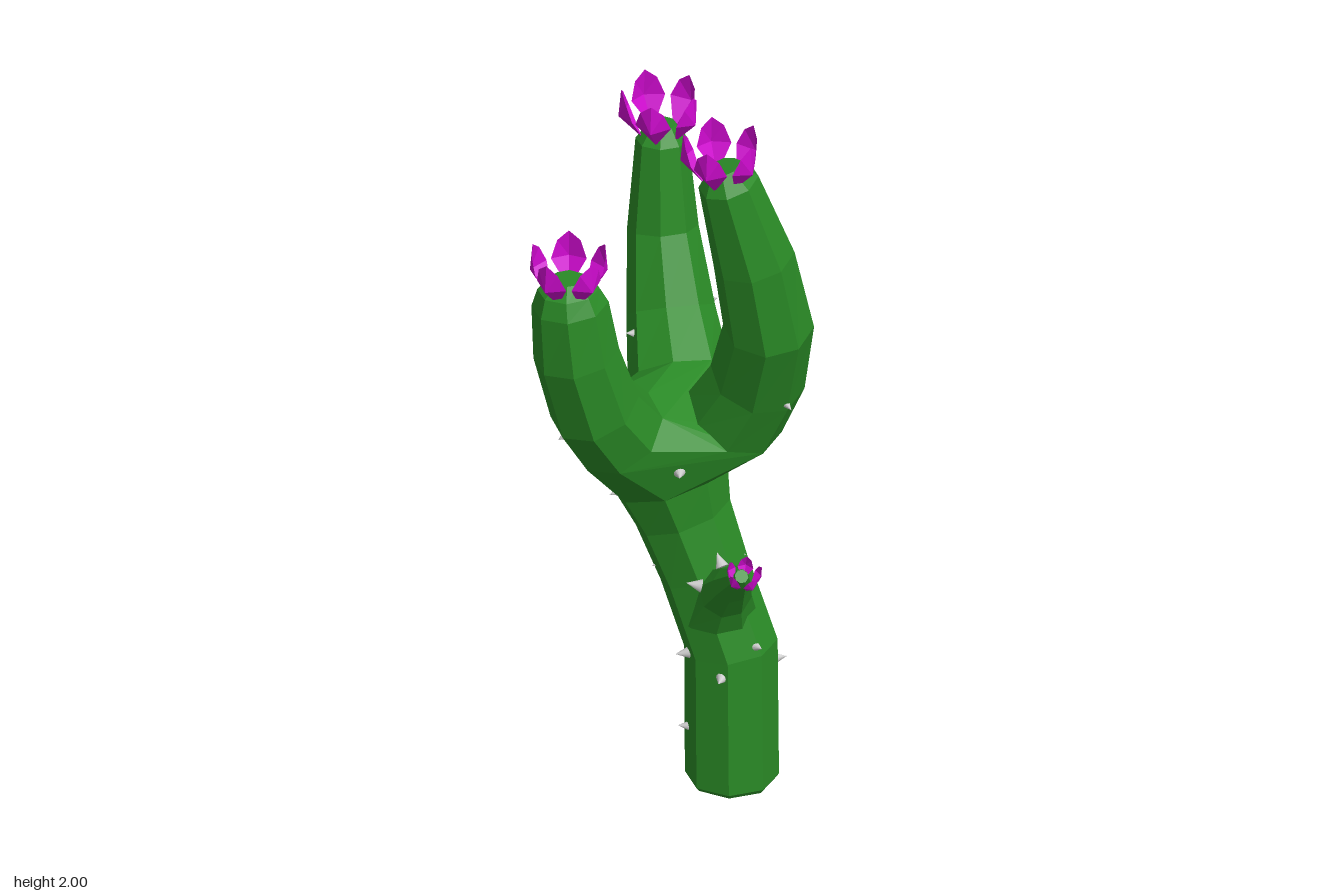
import * as THREE from 'three';
import { ConvexGeometry } from 'three/addons/geometries/ConvexGeometry.js';

const SIDES = 8;
const UP = new THREE.Vector3(0, 1, 0);
const V = (a) => new THREE.Vector3(a[0], a[1], a[2]);

const green = new THREE.MeshStandardMaterial({ color: 0x2a8a26, flatShading: true });
const magenta = new THREE.MeshStandardMaterial({ color: 0xcc0acc, flatShading: true, side: THREE.DoubleSide });
const grey = new THREE.MeshStandardMaterial({ color: 0xcccccc });

// Limb paths as [x, y, z, radius]
const trunkPath = [
  [0.177, 0, 0.165, 0.112], [0.177, 0.012, 0.165, 0.121], [0.175, 0.4, 0.163, 0.121],
  [0.118, 0.61, 0.115, 0.118], [0.075, 0.76, 0.075, 0.128], [0.046, 0.87, 0.055, 0.155],
];
const frontPath = [
  [0.195, 1.06, 0.125, 0.135], [0.238, 1.2, 0.19, 0.125], [0.24, 1.4, 0.272, 0.117],
  [0.195, 1.62, 0.288, 0.107], [0.127, 1.86, 0.285, 0.08], [0.113, 1.905, 0.283, 0.042],
];
const rightPath = [
  [-0.12, 1.07, 0.13, 0.128], [-0.195, 1.18, 0.165, 0.12], [-0.25, 1.36, 0.18, 0.112],
  [-0.266, 1.51, 0.178, 0.1], [-0.27, 1.555, 0.176, 0.08], [-0.27, 1.585, 0.176, 0.042],
];
const backPath = [
  [0.125, 1.06, -0.1, 0.135], [0.145, 1.18, -0.23, 0.115], [0.153, 1.38, -0.315, 0.092],
  [0.157, 1.63, -0.335, 0.068], [0.158, 1.675, -0.335, 0.036],
];
const shootPath = [
  [0.14, 0.52, 0.17, 0.1], [0.135, 0.6, 0.235, 0.07], [0.13, 0.665, 0.305, 0.05],
  [0.126, 0.72, 0.37, 0.03], [0.125, 0.74, 0.395, 0.018],
];
const forkAxis = [[0.046, 0.87, 0.055], [0.08, 1.1, 0.05]];

// Octagonal ring of points square to a direction
function ring(center, dir, radius) {
  const q = new THREE.Quaternion().setFromUnitVectors(UP, dir);
  return Array.from({ length: SIDES }, (_, i) => {
    const a = ((i + 0.5) / SIDES) * Math.PI * 2;
    return new THREE.Vector3(Math.sin(a) * radius, 0, Math.cos(a) * radius).applyQuaternion(q).add(center);
  });
}

// Rings along a path
function pathRings(path) {
  return path.map((p, i) => {
    const before = V(path[Math.max(i - 1, 0)]);
    const after = V(path[Math.min(i + 1, path.length - 1)]);
    return ring(V(p), after.sub(before).normalize(), p[3]);
  });
}

// Skin the rings and close both ends
function loft(rings) {
  const pos = [];
  const tri = (...pts) => pts.forEach((p) => pos.push(p.x, p.y, p.z));
  const middle = (r) => r.reduce((s, p) => s.add(p), new THREE.Vector3()).divideScalar(SIDES);
  const first = rings[0], last = rings[rings.length - 1];
  const c0 = middle(first), c1 = middle(last);
  for (let i = 0; i < SIDES; i++) {
    const j = (i + 1) % SIDES;
    for (let k = 0; k < rings.length - 1; k++) {
      const a = rings[k], b = rings[k + 1];
      tri(a[i], a[j], b[j]);
      tri(a[i], b[j], b[i]);
    }
    tri(c0, first[j], first[i]);
    tri(c1, last[i], last[j]);
  }
  const g = new THREE.BufferGeometry();
  g.setAttribute('position', new THREE.Float32BufferAttribute(pos, 3));
  g.computeVertexNormals();
  return g;
}

// Cupped, creased petal leaning to +z, pointed at the top
function petalGeometry() {
  const pts = [
    [0, -0.01, 0.045],
    [-0.046, 0.062, 0.075], [0, 0.055, 0.105], [0.046, 0.062, 0.075],
    [-0.03, 0.108, 0.09], [0.03, 0.108, 0.09], [0, 0.132, 0.098],
  ];
  const g = new THREE.BufferGeometry();
  g.setAttribute('position', new THREE.Float32BufferAttribute(pts.flat(), 3));
  g.setIndex([0, 2, 1, 0, 3, 2, 1, 2, 4, 2, 3, 5, 4, 2, 6, 2, 5, 6]);
  g.computeVertexNormals();
  return g;
}

function flower(petal, [x, y, z], scale, turn, tilt) {
  const g = new THREE.Group();
  g.name = 'flower';
  for (let i = 0; i < 5; i++) {
    const m = new THREE.Mesh(petal, magenta);
    m.name = 'petal';
    m.rotation.y = turn + (i / 5) * Math.PI * 2;
    g.add(m);
  }
  g.position.set(x, y, z);
  g.rotation.x = tilt;
  g.scale.setScalar(scale);
  return g;
}

export function createModel() {
  const model = new THREE.Group();
  model.name = 'cactus';
  const add = (name, geometry) => {
    const m = new THREE.Mesh(geometry, green);
    m.name = name;
    model.add(m);
  };

  // Trunk, three arms and a small side shoot
  const limbs = { trunk: trunkPath, frontArm: frontPath, rightArm: rightPath, backArm: backPath, shoot: shootPath };
  for (const [name, path] of Object.entries(limbs)) add(name, loft(pathRings(path)));

  // Fork joining the top of the trunk to the arms
  const armStarts = [frontPath, rightPath, backPath].flatMap((path) => pathRings(path)[0]);
  add('fork', new ConvexGeometry([...pathRings(trunkPath).pop(), ...armStarts]));

  // Flowers on every tip
  const petal = petalGeometry();
  model.add(
    flower(petal, [0.108, 1.868, 0.283], 1, 0.55, 0),
    flower(petal, [-0.27, 1.54, 0.18], 1, 0.3, 0),
    flower(petal, [0.15, 1.65, -0.33], 1.02, 0.7, 0),
    flower(petal, [0.125, 0.722, 0.405], 0.45, 0.2, 0.3),
  );

  // Spikes, each pointing away from the nearest limb axis
  const axisPoints = [...Object.values(limbs), forkAxis].flatMap((path) =>
    new THREE.CatmullRomCurve3(path.map(V)).getSpacedPoints(30));
  const spikeShape = new THREE.ConeGeometry(0.018, 0.04, 12);
  const spikes = [
    [0.01, 0.98, 0.235, 1.4], [0.28, 1.17, 0.3], [-0.275, 1.105, 0.16], [0.32, 1.035, 0.065],
    [0.255, 1.185, -0.235], [0.18, 0.8, -0.045], [0.215, 0.68, 0.045], [0.2, 0.65, 0.155],
    [0.285, 0.43, 0.09], [0.295, 0.35, 0.195], [0.285, 0.155, 0.09], [0.21, 0.44, 0.27],
    [0.11, 0.36, 0.27], [0.055, 0.63, 0.22], [0.12, 0.7, 0.235], [0.05, 0.385, 0.15],
    [-0.1, 0.845, 0.06], [-0.075, 1.09, -0.05, 1.6], [0.025, 1.16, -0.18], [0.16, 1.2, 0.135],
    [0.12, 0.55, 0], [0.04, 0.87, -0.09], [0.17, 0.3, 0.05], [0.01, 0.62, 0.08],
    [0.06, 0.16, 0.14], [-0.02, 0.75, 0],
  ];
  for (const [x, y, z, size = 1] of spikes) {
    const m = new THREE.Mesh(spikeShape, grey);
    m.name = 'spike';
    m.position.set(x, y, z);
    const nearest = axisPoints.reduce((a, b) =>
      (a.distanceTo(m.position) < b.distanceTo(m.position) ? a : b));
    m.quaternion.setFromUnitVectors(UP, m.position.clone().sub(nearest).normalize());
    m.scale.setScalar(size);
    model.add(m);
  }
  return model;
}
